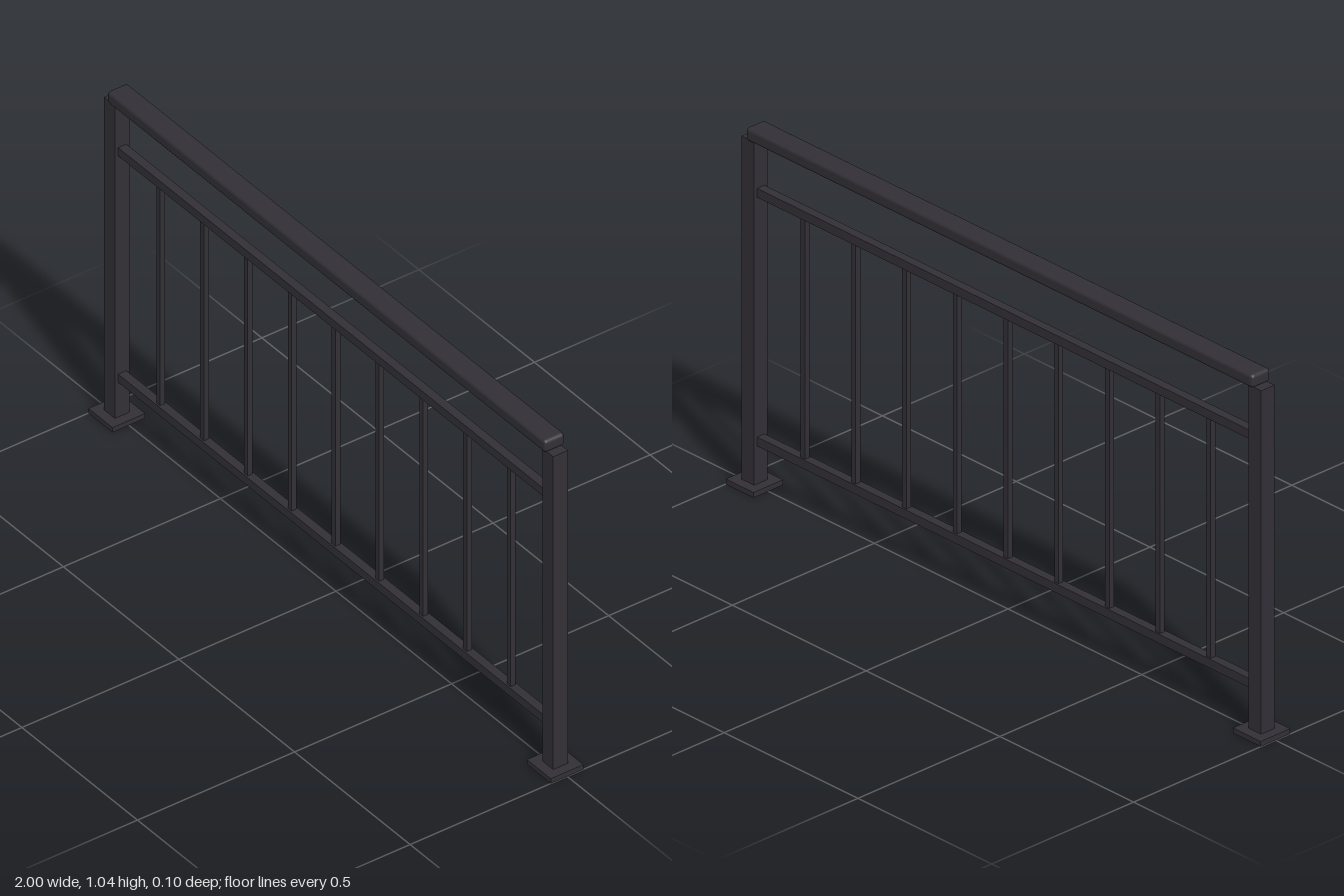
import * as THREE from 'three';
import { RoundedBoxGeometry } from 'three/addons/geometries/RoundedBoxGeometry.js';

export function createModel() {
  const group = new THREE.Group();
  group.name = 'railing';
  const paint = new THREE.MeshStandardMaterial({ color: 0x323036 });
  paint.name = 'charcoal paint';

  const add = (name, geometry, x, y) => {
    const mesh = new THREE.Mesh(geometry, paint);
    mesh.name = name;
    mesh.position.set(x, y, 0);
    group.add(mesh);
  };

  // End posts on square base plates
  const postX = 0.948, plateH = 0.015, postTop = 1.008;
  for (const [side, label] of [[1, 'left'], [-1, 'right']]) {
    add(label + 'BasePlate', new THREE.BoxGeometry(0.104, plateH, 0.104), side * postX, plateH / 2);
    add(label + 'Post', new THREE.BoxGeometry(0.047, postTop - plateH, 0.047), side * postX, (postTop + plateH) / 2);
  }

  // Handrail with softened edges, resting on the posts
  add('handrail', new RoundedBoxGeometry(1.896, 0.038, 0.065, 2, 0.01), 0, 1.026);

  // Horizontal rails between the posts
  const lowY = 0.138, highY = 0.857, railH = 0.026;
  const railGeometry = new THREE.BoxGeometry(2 * (postX - 0.0235), railH, railH);
  add('lowerRail', railGeometry, 0, lowY);
  add('upperRail', railGeometry, 0, highY);

  // Evenly spaced square balusters
  const balusterGeometry = new THREE.BoxGeometry(0.016, highY - lowY - railH, 0.016);
  for (let i = -4; i <= 4; i++) {
    add('baluster' + (i + 5), balusterGeometry, i * 0.1896, (lowY + highY) / 2);
  }

  return group;
}
